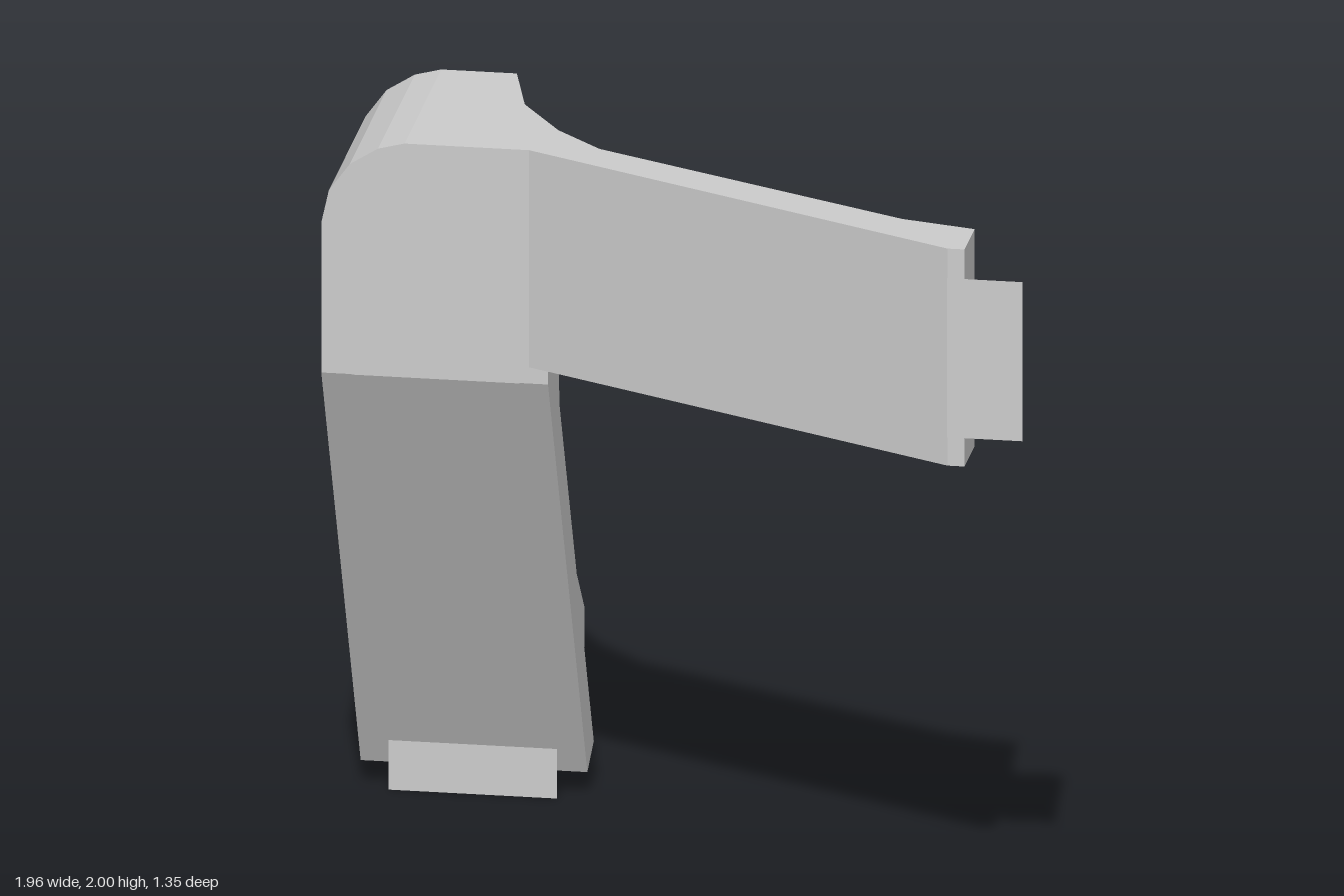
import * as THREE from 'three';

const material = new THREE.MeshStandardMaterial({ color: 0xcccccc, flatShading: true });
const sheetMaterial = new THREE.MeshStandardMaterial({ color: 0xcccccc, side: THREE.DoubleSide });

function prism(points, depth) {
  const shape = new THREE.Shape(points.map(([x, y]) => new THREE.Vector2(x, y)));
  return new THREE.ExtrudeGeometry(shape, { depth, bevelEnabled: false });
}

// Front outline [x, y] pushed along z
const alongZ = (points, z0, z1) => prism(points, z1 - z0).translate(0, 0, z0);
// Plan outline [x, z] pushed up along y
const alongY = (points, y0, y1) =>
  prism(points.map(([x, z]) => [x, -z]), y1 - y0).rotateX(-Math.PI / 2).translate(0, y0, 0);
// Side outline [z, y] pushed along x
const alongX = (points, x0, x1) => prism(points, x1 - x0).rotateY(-Math.PI / 2).translate(x1, 0, 0);

export function createModel() {
  const model = new THREE.Group();
  model.name = 'foldedStripGuide';

  function add(name, geometry, mat = material) {
    const mesh = new THREE.Mesh(geometry, mat);
    mesh.name = name;
    model.add(mesh);
  }

  // Corner block with its faceted round upper edge
  add('cornerBlock', alongZ([
    [-0.98, 1.4], [-0.56, 1.4], [-0.56, 2], [-0.76, 2],
    [-0.83, 1.982], [-0.905, 1.935], [-0.96, 1.86], [-0.98, 1.77],
  ], -0.53, 0.07));

  // Slanted arm, flaring into the corner block and thickened at its tip
  add('arm', alongY([
    [-0.56, 0.07], [-0.43, 0.07], [0.775, 0.67], [0.82, 0.67], [0.82, 0.505],
    [0.62, 0.455], [-0.25, 0.03], [-0.38, -0.1], [-0.5, -0.29], [-0.56, -0.53],
  ], 1.4, 2));

  // Leg leaning backward below the corner
  add('leg', alongX([
    [0.07, 1.4], [0.07, 1.355], [-0.57, 0.065], [-0.675, 0.115], [-0.12, 1.23], [-0.095, 1.4],
  ], -0.98, -0.38));

  // Wedge across the back of the leg
  add('legRidge', alongX([
    [-0.4, 0.67], [-0.38, 0.66], [-0.5, 0.42], [-0.525, 0.43], [-0.525, 0.535],
  ], -0.98, -0.38));

  // Flat strip: the fold at the corner and the two ends sticking out
  const strips = [
    ['stripFold', -0.9, -0.455, 1.355, 1.92, 0.074],
    ['stripArmEnd', 0.775, 0.975, 1.48, 1.92, 0.675],
    ['stripLegEnd', -0.9, -0.455, 0, 0.137, -0.534],
  ];
  for (const [name, x0, x1, y0, y1, z] of strips) {
    add(name, new THREE.PlaneGeometry(x1 - x0, y1 - y0)
      .translate((x0 + x1) / 2, (y0 + y1) / 2, z), sheetMaterial);
  }

  return model;
}
